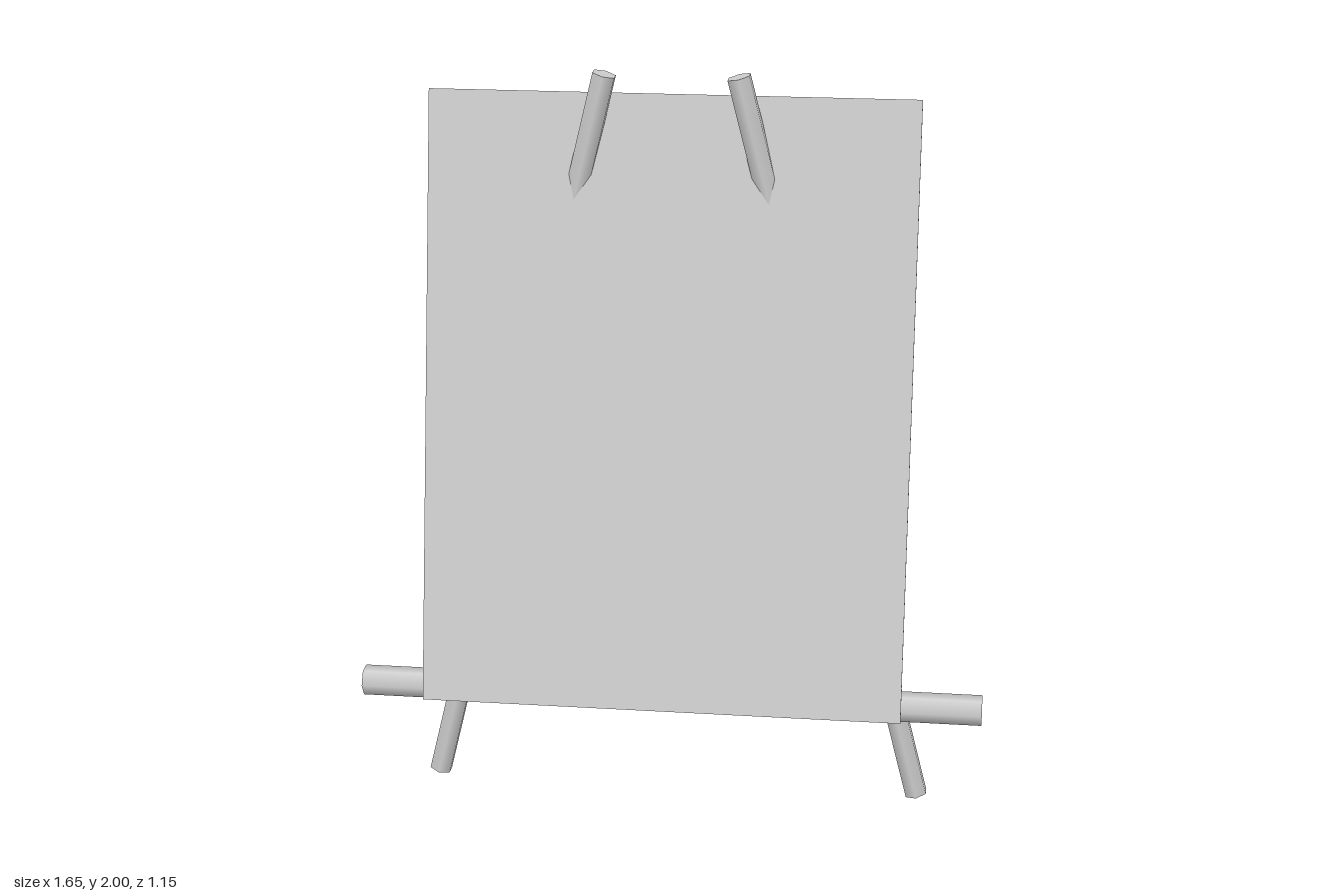
import * as THREE from 'three';

const grey = new THREE.MeshStandardMaterial({ color: 0xcccccc });
grey.name = 'light grey';

// Six-sided smooth pole between two points
function pole(name, from, to, radius) {
  const a = new THREE.Vector3(...from), b = new THREE.Vector3(...to);
  const dir = b.clone().sub(a);
  const mesh = new THREE.Mesh(new THREE.CylinderGeometry(radius, radius, dir.length(), 6), grey);
  mesh.name = name;
  mesh.position.copy(a).add(b).multiplyScalar(0.5);
  mesh.quaternion.setFromUnitVectors(new THREE.Vector3(0, 1, 0), dir.normalize());
  return mesh;
}

export function createModel() {
  const easel = new THREE.Group();
  easel.name = 'easel';

  // Splayed front legs, passing through the board near the top
  for (const [side, s] of [['left', 1], ['right', -1]]) {
    easel.add(pole(side + 'FrontLeg', [0.66 * s, 0.011, 0.203], [0.167 * s, 1.993, 0.284], 0.032));
  }

  // Rear prop leg
  easel.add(pole('rearLeg', [0, 0.014, -0.543], [0, 1.828, 0.195], 0.033));

  // Horizontal rest bar
  easel.add(pole('restBar', [-0.825, 0.345, 0.357], [0.825, 0.345, 0.357], 0.04));

  // Thin board leaning back
  const board = new THREE.Mesh(new THREE.BoxGeometry(1.234, 1.57, 0.015), grey);
  board.name = 'board';
  board.position.set(0, 1.17, 0.404);
  board.rotation.x = -0.211;
  easel.add(board);

  return easel;
}
